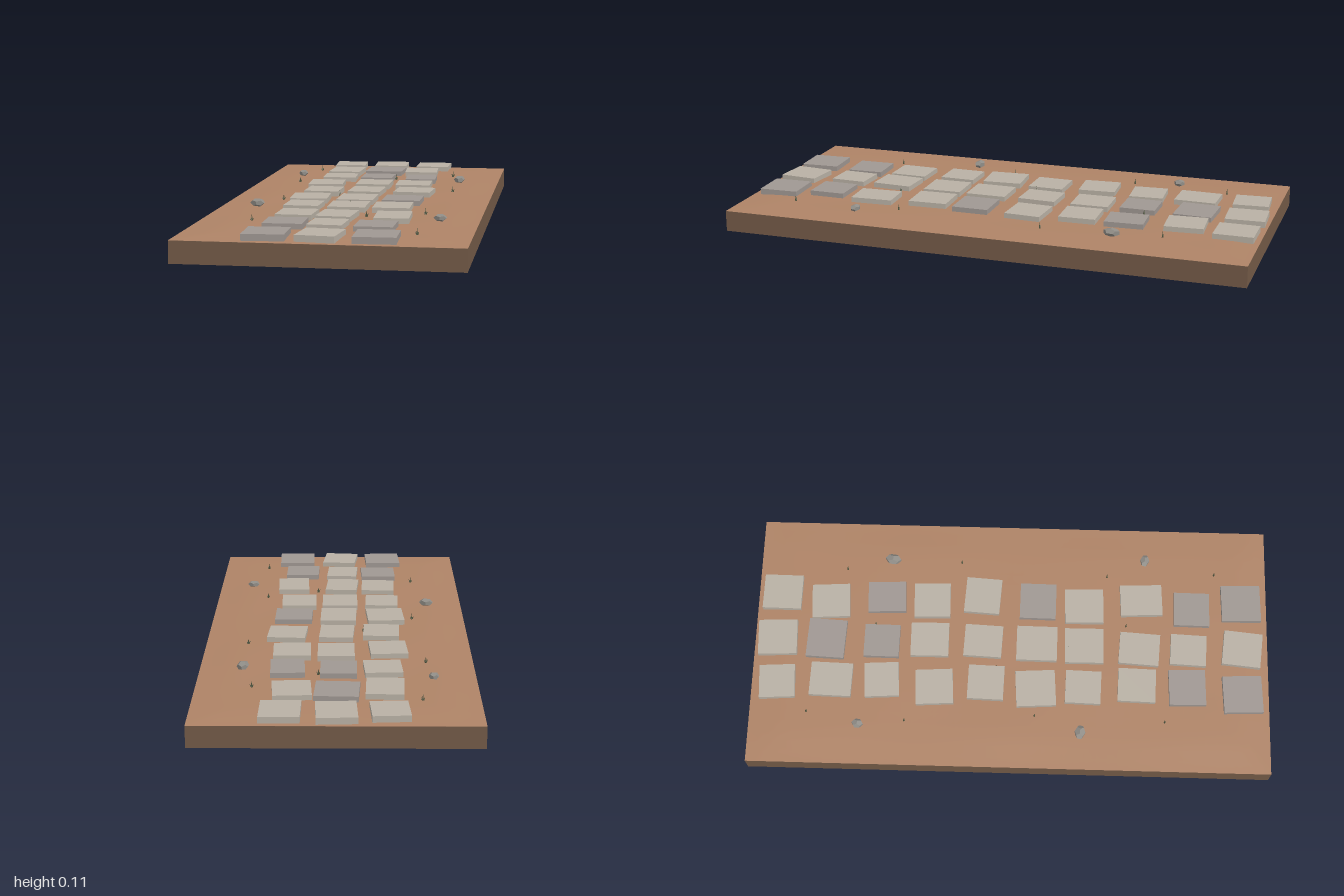
import * as THREE from 'three';

const TURN = 0.115, WIDTH = 0.948, LENGTH = 1.902;
const mat = (color, flatShading = false) => new THREE.MeshStandardMaterial({ color, flatShading });

// Paving slabs: x, z, turn in degrees
const SLABS = [
  [-0.27, -0.83, 10], [-0.1, -0.86, 9], [0.08, -0.875, 6],
  [-0.235, -0.635, 5], [-0.08, -0.68, 4], [0.07, -0.69, 10],
  [-0.21, -0.45, 10], [-0.06, -0.475, 6], [0.115, -0.485, 9],
  [-0.21, -0.255, 10], [-0.03, -0.3, 7], [0.125, -0.315, 8],
  [-0.167, -0.07, 5], [-0.008, -0.103, 4], [0.17, -0.13, 3],
  [-0.164, 0.114, 10], [0.01, 0.095, 6], [0.177, 0.077, 6],
  [-0.135, 0.286, 5], [0.026, 0.27, 7], [0.182, 0.25, 8],
  [-0.1, 0.48, 5], [0.042, 0.473, 3], [0.235, 0.458, 9],
  [-0.082, 0.664, 8], [0.063, 0.653, 4], [0.225, 0.648, 6],
  [-0.08, 0.868, 9], [0.095, 0.85, 1], [0.275, 0.828, 8],
];
// Slab widths and depths
const SIZES = [
  [0.125, 0.13], [0.134, 0.143], [0.133, 0.143], [0.127, 0.153], [0.148, 0.14], [0.13, 0.14],
  [0.13, 0.125], [0.125, 0.13], [0.118, 0.14], [0.132, 0.137], [0.13, 0.14], [0.132, 0.134],
  [0.13, 0.132], [0.123, 0.14], [0.138, 0.132], [0.136, 0.145], [0.133, 0.15], [0.138, 0.134],
  [0.125, 0.13], [0.134, 0.143], [0.132, 0.143], [0.127, 0.138], [0.122, 0.148], [0.12, 0.155],
  [0.135, 0.134], [0.118, 0.132], [0.13, 0.132], [0.14, 0.143], [0.132, 0.142], [0.14, 0.145],
];
const DARK_SLABS = new Set([4, 7, 8, 17, 24, 26, 27, 29]);

// Earth block with a gently crowned dirt surface
function createGround() {
  const ground = new THREE.Group();
  ground.name = 'ground';
  ground.rotation.y = TURN;

  const block = new THREE.Mesh(new THREE.BoxGeometry(WIDTH, 0.075, LENGTH), mat(0x735a47));
  block.name = 'earthBlock';
  block.position.y = 0.0375;

  const geometry = new THREE.PlaneGeometry(WIDTH, LENGTH, 24, 48).rotateX(-Math.PI / 2);
  const p = geometry.attributes.position;
  for (let i = 0; i < p.count; i++) {
    const x = p.getX(i), z = p.getZ(i);
    const inset = Math.min(WIDTH / 2 - Math.abs(x), LENGTH / 2 - Math.abs(z));
    const rise = THREE.MathUtils.smoothstep(inset, 0, 0.12);
    p.setY(i, 0.0755 + rise * (0.0045 + 0.001 * Math.sin(x * 13) * Math.cos(z * 9)));
  }
  geometry.computeVertexNormals();
  const dirt = new THREE.Mesh(geometry, mat(0xae8366));
  dirt.name = 'dirtSurface';

  ground.add(block, dirt);
  return ground;
}

function createPaving() {
  const paving = new THREE.Group();
  paving.name = 'paving';
  const light = mat(0xb8b0a4), dark = mat(0x9f9792);
  SLABS.forEach(([x, z, degrees], i) => {
    const [w, d] = SIZES[i];
    const slab = new THREE.Mesh(new THREE.BoxGeometry(w, 0.023, d), DARK_SLABS.has(i) ? dark : light);
    slab.name = 'pavingSlab';
    slab.position.set(x, 0.087, z);
    slab.rotation.y = THREE.MathUtils.degToRad(degrees);
    paving.add(slab);
  });
  return paving;
}

// Faceted pebbles: x, z, then half sizes
function createPebbles() {
  const pebbles = new THREE.Group();
  pebbles.name = 'pebbles';
  const grey = mat(0x8f8c86, true);
  for (const [x, z, rx, ry, rz] of [
    [-0.388, -0.51, 0.018, 0.013, 0.022], [0.27, -0.488, 0.021, 0.015, 0.032],
    [-0.307, 0.296, 0.027, 0.015, 0.021], [0.398, 0.453, 0.024, 0.013, 0.018],
  ]) {
    const pebble = new THREE.Mesh(new THREE.DodecahedronGeometry(1), grey);
    pebble.name = 'pebble';
    pebble.scale.set(rx, ry, rz);
    pebble.position.set(x, 0.094, z);
    pebbles.add(pebble);
  }
  return pebbles;
}

// Small weeds along both verges and in the joints: one tall blade and two leaning ones
function createWeeds() {
  const weeds = new THREE.Group();
  weeds.name = 'weeds';
  const green = mat(0x535a43, true);
  const blade = new THREE.ConeGeometry(0.0035, 0.024, 4).translate(0, 0.012, 0);
  for (const [x, z] of [
    [-0.365, -0.705], [0.21, -0.653], [-0.35, -0.345], [0.297, -0.23],
    [-0.265, 0.123], [0.317, 0.32], [-0.223, 0.597], [0.38, 0.718],
    [0.005, -0.51], [-0.1, -0.04], [0.015, 0.213], [0.13, 0.414],
  ]) {
    const weed = new THREE.Group();
    weed.name = 'weed';
    weed.position.set(x, 0.079, z);
    for (const lean of [-1, 0, 1]) {
      const leaf = new THREE.Mesh(blade, green);
      leaf.name = 'weedBlade';
      leaf.rotation.z = lean * 0.5;
      leaf.scale.y = lean ? 0.6 : 1;
      weed.add(leaf);
    }
    weeds.add(weed);
  }
  return weeds;
}

export function createModel() {
  const model = new THREE.Group();
  model.name = 'pavedPath';
  model.add(createGround(), createPaving(), createPebbles(), createWeeds());
  return model;
}
